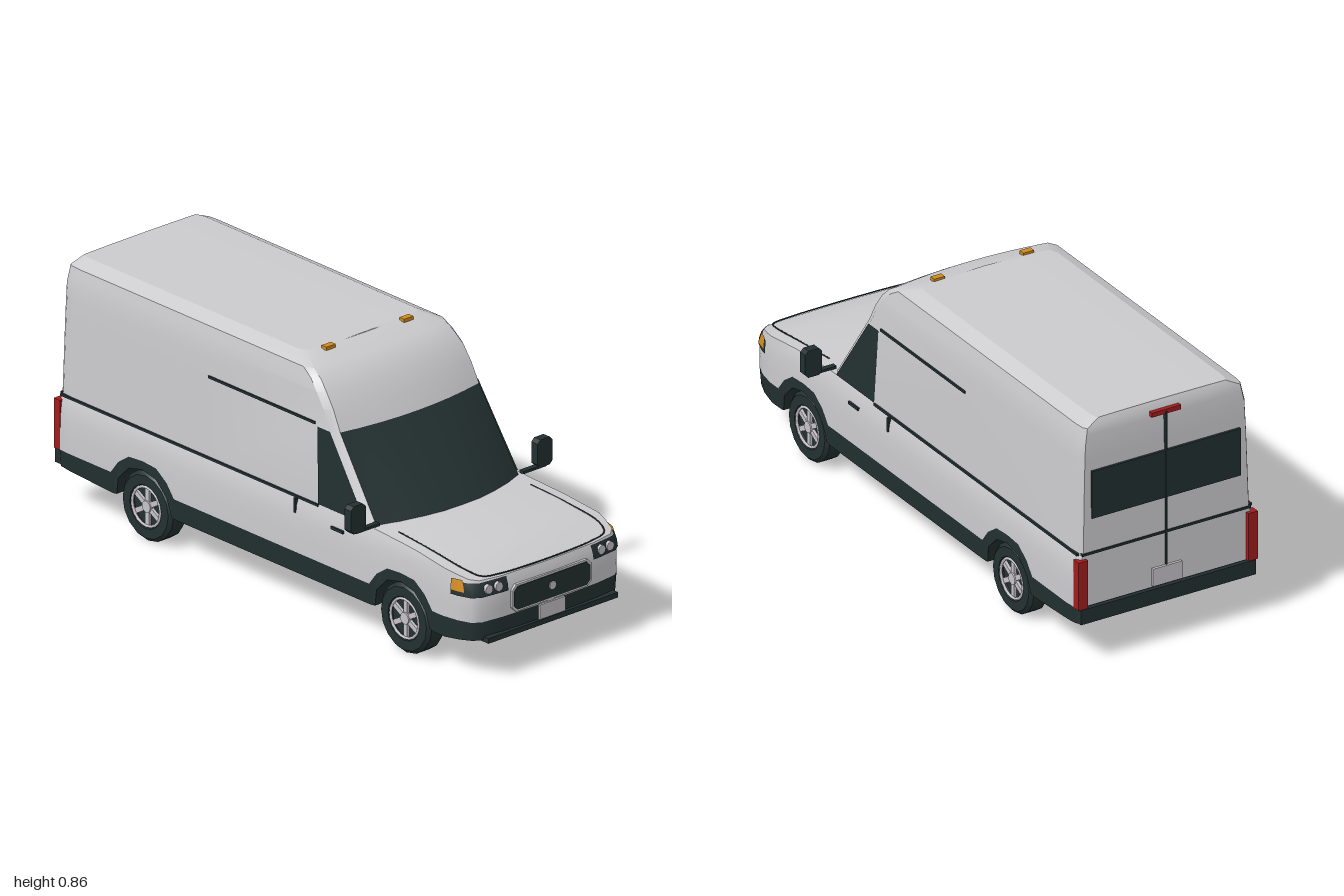
import * as THREE from 'three';
import { toCreasedNormals } from 'three/addons/utils/BufferGeometryUtils.js';

const paint = (name, color) => {
  const m = new THREE.MeshStandardMaterial({ color, side: THREE.DoubleSide });
  m.name = name;
  return m;
};

// piecewise linear lookup in [[key, value], ...]
function interp(table, v) {
  if (v <= table[0][0]) return table[0][1];
  for (let i = 1; i < table.length; i++) {
    const [a, p] = table[i - 1], [b, q] = table[i];
    if (v <= b) return p + (q - p) * (v - a) / (b - a);
  }
  return table[table.length - 1][1];
}

export function createModel() {
  const van = new THREE.Group();
  van.name = 'van';
  const body = paint('silverPaint', 0xcbcbce);
  const dark = paint('darkTrim', 0x233030);
  const alloy = paint('alloy', 0xc6c3c8);
  const amber = paint('amber', 0xd08a1c);
  const red = paint('red', 0xa31c1c);

  const add = (name, geo, mat, parent = van) => {
    const m = new THREE.Mesh(geo, mat);
    m.name = name;
    parent.add(m);
    return m;
  };
  // box given by its lower and upper limits on each axis
  const box = (name, mat, [x0, x1], [y0, y1], [z0, z1], parent = van) => {
    const g = new THREE.BoxGeometry(x1 - x0, y1 - y0, Math.abs(z1 - z0));
    return add(name, g.translate((x0 + x1) / 2, (y0 + y1) / 2, (z0 + z1) / 2), mat, parent);
  };
  // skin over rows of points, optionally leaving faces out
  function loft(name, rows, mat, skip = () => false) {
    const n = rows[0].length, index = [];
    for (let r = 0; r + 1 < rows.length; r++)
      for (let c = 0; c + 1 < n; c++) {
        if (skip(r, c)) continue;
        const a = r * n + c, d = a + n;
        index.push(a, a + 1, d + 1, a, d + 1, d);
      }
    const g = new THREE.BufferGeometry();
    g.setAttribute('position', new THREE.Float32BufferAttribute(rows.flat(2), 3));
    g.setIndex(index);
    return add(name, toCreasedNormals(g, 0.6), mat);
  }
  const mirrorRow = half => [...half, ...half.slice(1, -1).reverse().map(([x, y, z]) => [x, y, -z]), half[0]];
  const capRows = (half, crown, up = 1) => [1, 0.8, 0.5, 0, -0.5, -0.8, -1].map(s =>
    half.map(([x, y, z]) => [x, y + crown(x) * (1 - s * s), z * s * up]));

  // ---- lower body: plan outline with extra columns at the wheel arches
  const wheelX = [-0.575, 0.65];
  const archTop = [[0, 0.285], [0.065, 0.28], [0.115, 0.245], [0.15, 0.2]];
  const archIn = [[0, 0.255], [0.065, 0.24], [0.115, 0.19], [0.13, 0.128], [0.15, 0.125]];
  const outline = [[-0.985, 0], [-0.985, 0.5], [-0.985, 0.96], [-0.97, 0.99], [-0.93, 1]];
  for (const w of wheelX)
    for (const d of [-0.15, -0.13, -0.115, -0.065, 0, 0.065, 0.115, 0.13, 0.15]) outline.push([w + d, 1]);
  outline.push([0.85, 1], [0.91, 0.97], [0.955, 0.92], [0.975, 0.84], [0.985, 0.6], [0.988, 0.3], [0.99, 0]);

  const lowerWidth = y => interp([[0.125, 0.333], [0.2, 0.341], [0.3, 0.341], [0.36, 0.335], [0.39, 0.325]], y);
  const topY = x => interp([[0.5, 0.39], [0.7, 0.38], [0.9, 0.358], [0.99, 0.335]], x);
  const wheelGap = x => Math.min(...wheelX.map(w => Math.abs(x - w)));
  const sillTop = x => interp(archTop, wheelGap(x));
  const sillBottom = x => wheelGap(x) < 0.15 ? interp(archIn, wheelGap(x))
    : interp([[-1, 0.142], [-0.73, 0.125], [0.85, 0.125], [1, 0.14]], x);
  const skinPoint = ([x, f], y, off = 0) =>
    [x - (x > 0.9 ? Math.max(0, y - 0.3) * 0.4 : 0) + off, y, f * lowerWidth(y) + off];
  const halfRow = (lo, hi, t) => outline.map(o => skinPoint(o, lo(o[0]) + (hi(o[0]) - lo(o[0])) * t));

  loft('lowerBody', [0, 0.3, 0.6, 0.85, 1].map(t => mirrorRow(halfRow(sillTop, topY, t))), body);
  const crown = x => 0.012 * THREE.MathUtils.clamp((0.98 - x) / 0.1, 0, 1);
  loft('hood', capRows(halfRow(sillTop, topY, 1), x => x > 0.3 ? crown(x) : 0), body);
  loft('sillAndBumper', [0, 1].map(t => mirrorRow(halfRow(sillBottom, sillTop, t))), dark);
  loft('floor', capRows(halfRow(sillBottom, sillTop, 0), () => 0, -1), dark);
  box('underbody', dark, [-0.9, 0.9], [0.126, 0.3], [-0.24, 0.24]);

  // ---- upper body: rings at rising heights, bowed at the windscreen
  const upperWidth = y => interp([[0.39, 0.325], [0.655, 0.317], [0.77, 0.312], [0.83, 0.3], [0.853, 0.25]], y);
  const frontMid = [[0.39, 0.585], [0.655, 0.35], [0.72, 0.312], [0.77, 0.275], [0.805, 0.24], [0.83, 0.2], [0.853, 0.11]];
  const frontSide = [[0.39, 0.505], [0.655, 0.318], [0.72, 0.285], [0.77, 0.25], [0.805, 0.215], [0.83, 0.175], [0.853, 0.095]];
  const rearX = [[0.39, -0.985], [0.77, -0.978], [0.83, -0.972], [0.853, -0.96]];
  const upperHalf = y => {
    const r = interp(rearX, y), m = interp(frontMid, y), s = interp(frontSide, y), w = upperWidth(y);
    const pts = [[r, 0], [r, 0.5], [r, 0.96], [r + 0.015, 0.99], [r + 0.05, 1], [-0.3, 1], [s - 0.03, 1]];
    for (const k of [1, 0.75, 0.5, 0.25, 0]) pts.push([s + (m - s) * (1 - k * k), 0.945 * k]);
    return pts.map(([x, f]) => [x, y, f * w]);
  };
  const heights = [0.38, 0.655, 0.72, 0.77, 0.805, 0.83, 0.853];
  const rings = heights.map(y => mirrorRow(upperHalf(y)));
  const n = upperHalf(0.5).length;
  loft('upperBody', rings, body, (r, c) => r === 0 && c >= n - 5 && c <= n + 2);
  loft('windscreen', rings.slice(0, 2).map(row => row.slice(n - 5, n + 4)), dark);
  loft('roof', capRows(upperHalf(0.853), () => 0.002), body);

  // ---- hood seam
  const seam = [[0.58, 0.285], [0.75, 0.29], [0.9, 0.288], [0.95, 0.265], [0.965, 0.2], [0.972, 0.08]];
  const seamPts = [...seam, ...seam.map(([x, z]) => [x, -z]).reverse()].map(([x, z]) =>
    new THREE.Vector3(x, topY(x) + crown(x) * (1 - (z / 0.335) ** 2), z));
  add('hoodSeam', new THREE.TubeGeometry(new THREE.CatmullRomCurve3(seamPts), 60, 0.0025, 5), dark);

  // ---- front details
  const chamferPlate = (w, h, c, depth) => {
    const s = new THREE.Shape([[-w, -h + c], [-w + c, -h], [w - c, -h], [w, -h + c], [w, h - c], [w - c, h], [-w + c, h], [-w, h - c]]
      .map(p => new THREE.Vector2(...p)));
    return new THREE.ExtrudeGeometry(s, { depth, bevelEnabled: false });
  };
  const facing = (g, x, y, z = 0) => g.rotateY(Math.PI / 2).translate(x, y, z);
  add('grilleFrame', facing(chamferPlate(0.172, 0.047, 0.018, 0.03), 0.963, 0.252), body);
  add('grille', facing(chamferPlate(0.164, 0.04, 0.015, 0.03), 0.9655, 0.252), dark);
  add('grilleBoss', facing(new THREE.CylinderGeometry(0.015, 0.015, 0.006, 8).rotateX(Math.PI / 2), 0.996, 0.254), alloy);
  box('frontPlate', alloy, [0.985, 0.996], [0.145, 0.2], [-0.055, 0.055]);
  box('frontLip', dark, [0.93, 1], [0.132, 0.15], [-0.28, 0.28]);
  box('airDam', dark, [0.9, 0.96], [0.113, 0.14], [-0.21, 0.21]);

  // ---- rear details
  box('rearBumper', dark, [-1, -0.96], [0.145, 0.198], [-0.33, 0.33]);
  box('rearWindow', dark, [-0.988, -0.979], [0.51, 0.68], [-0.28, 0.28]);
  box('rearDoorSeam', dark, [-0.9895, -0.975], [0.2, 0.82], [-0.003, 0.003]);
  box('rearBelt', dark, [-0.989, -0.975], [0.383, 0.391], [-0.318, 0.318]);
  box('rearPlate', alloy, [-0.995, -0.986], [0.205, 0.268], [-0.055, 0.055]);
  box('highBrakeLight', red, [-0.988, -0.965], [0.812, 0.828], [-0.055, 0.055]);

  // ---- parts on both sides
  for (const s of [1, -1]) {
    const sideZ = (a, b) => [s * a, s * b];
    const patch = (name, rows, mat) => loft(name, rows.map(r => s > 0 ? r : r.map(([x, y, z]) => [x, y, -z]).reverse()), mat);
    const lamp = [[0.986, 0.53], [0.985, 0.6], [0.975, 0.84], [0.955, 0.92], [0.91, 0.97], [0.88, 0.985]].reverse();
    patch('headlight', [0.287, 0.31, 0.333].map(y => lamp.map(o => skinPoint(o, y, 0.003))), dark);
    const turn = [[0.88, 0.985], [0.91, 0.97], [0.935, 0.946]];
    patch('turnSignal', [0.302, 0.342].map(y => turn.map(o => skinPoint(o, y, 0.006))), amber);
    for (const z of [0.222, 0.262])
      add('headlightLens', new THREE.CylinderGeometry(0.016, 0.016, 0.016, 8).rotateZ(Math.PI / 2)
        .translate(z > 0.24 ? 0.976 : 0.98, 0.31, s * z), alloy);

    patch('sideWindow', [[0.392, 0.245, 0.472], [0.655, 0.232, 0.292]].map(([y, a, b]) =>
      [a, b].map(x => [x, y, upperWidth(y) + 0.003])), dark);
    box('sideBelt', dark, [-0.975, 0.245], [0.383, 0.391], sideZ(0.322, 0.331));
    box('slideRail', dark, [-0.285, 0.22], [0.66, 0.668], sideZ(0.314, 0.322));
    box('slideHandle', dark, [0.142, 0.15], [0.335, 0.385], sideZ(0.326, 0.341));
    box('doorHandle', dark, [0.32, 0.377], [0.333, 0.343], sideZ(0.33, 0.343));
    box('tailLight', red, [-0.998, -0.968], [0.198, 0.37], sideZ(0.302, 0.338));
    box('roofMarker', amber, [0.107, 0.13], [0.848, 0.86], sideZ(0.148, 0.188));

    box('mirrorArm', dark, [0.498, 0.518], [0.398, 0.407], sideZ(0.31, 0.41));
    add('mirrorHead', facing(chamferPlate(0.032, 0.048, 0.012, 0.03), 0.488, 0.448, s * 0.403), dark);
  }

  // ---- wheels
  const profile = [[0, -0.03], [0.07, -0.03], [0.075, -0.038], [0.108, -0.038], [0.12, -0.026], [0.12, 0.026],
    [0.108, 0.038], [0.075, 0.038], [0.07, 0.022], [0, 0.022]].map(p => new THREE.Vector2(...p));
  const tyre = toCreasedNormals(new THREE.LatheGeometry(profile, 16).rotateX(Math.PI / 2), 0.5);
  for (const x of wheelX) for (const s of [1, -1]) {
    const wheel = new THREE.Group();
    wheel.name = 'wheel';
    wheel.position.set(x, 0.122, s * 0.289);
    if (s < 0) wheel.rotation.y = Math.PI;
    add('tyre', tyre, dark, wheel);
    add('rim', new THREE.TorusGeometry(0.067, 0.005, 6, 20).translate(0, 0, 0.034), alloy, wheel);
    add('hub', new THREE.CylinderGeometry(0.02, 0.022, 0.014, 12).rotateX(Math.PI / 2).translate(0, 0, 0.029), alloy, wheel);
    add('innerHub', new THREE.CylinderGeometry(0.02, 0.02, 0.008, 10).rotateX(Math.PI / 2).translate(0, 0, -0.032), alloy, wheel);
    for (let i = 0; i < 6; i++)
      box('spoke', alloy, [-0.009, 0.009], [0.01, 0.066], [0.02, 0.032], wheel).rotation.z = i * Math.PI / 3;
    van.add(wheel);
  }
  return van;
}
